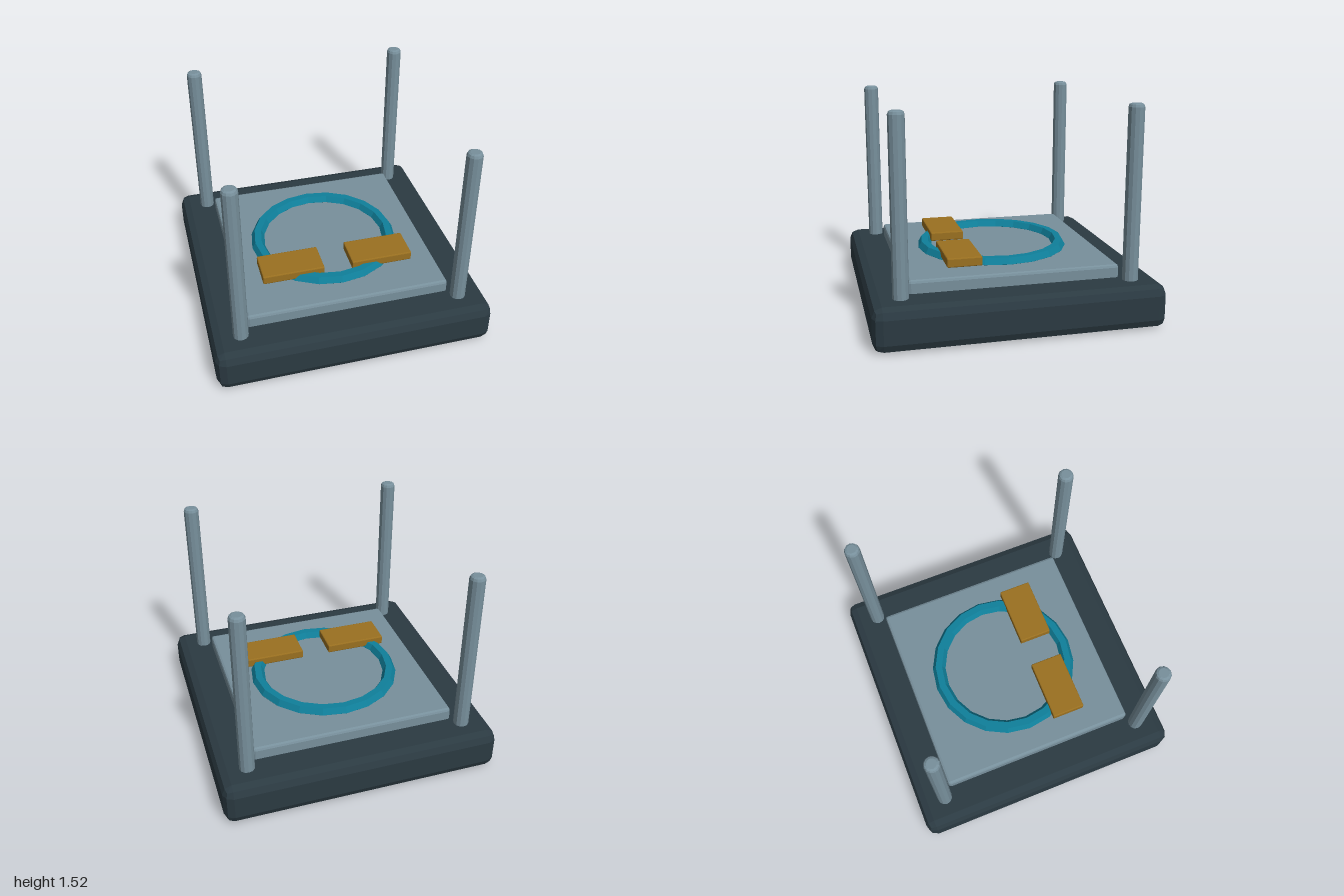
import * as THREE from 'three';
import { RoundedBoxGeometry } from 'three/addons/geometries/RoundedBoxGeometry.js';

const paint = (color) => new THREE.MeshStandardMaterial({ color, flatShading: true });

export function createModel() {
  const model = new THREE.Group();
  const dark = paint(0x2b3a42);
  const steel = paint(0x78909c);
  const teal = paint(0x0f7f9a);
  const brass = paint(0x9a7020);

  const add = (name, geometry, material, x, y, z) => {
    const mesh = new THREE.Mesh(geometry, material);
    mesh.name = name;
    mesh.position.set(x, y, z);
    model.add(mesh);
    return mesh;
  };

  // Bevelled slab and the raised plate on it
  add('base', new RoundedBoxGeometry(2, 0.305, 2, 1, 0.068), dark, 0, 0.1525, 0);
  add('plate', new RoundedBoxGeometry(1.475, 0.19, 1.475, 1, 0.02), steel, 0, 0.3, 0);

  // Faceted ring, half sunk into the plate
  const ring = add('ring', new THREE.TorusGeometry(0.508, 0.05, 6, 20), teal, 0, 0.396, 0);
  ring.rotation.x = -Math.PI / 2;

  // Two blocks lying across the front of the ring
  for (const side of [-1, 1]) {
    add(side > 0 ? 'leftBlock' : 'rightBlock',
      new RoundedBoxGeometry(0.456, 0.066, 0.248, 1, 0.008), brass, side * 0.333, 0.437, 0.319);
  }

  // Corner posts with softened tops
  const profile = [[0, 0.25], [0.055, 0.25], [0.055, 1.501], [0.048, 1.518], [0.034, 1.525], [0, 1.525]]
    .map(([r, y]) => new THREE.Vector2(r, y));
  const postGeometry = new THREE.LatheGeometry(profile, 12);
  for (const x of [-0.795, 0.795]) {
    for (const z of [-0.795, 0.795]) {
      add((z > 0 ? 'front' : 'back') + (x > 0 ? 'Left' : 'Right') + 'Post', postGeometry, steel, x, 0, z);
    }
  }
  return model;
}
